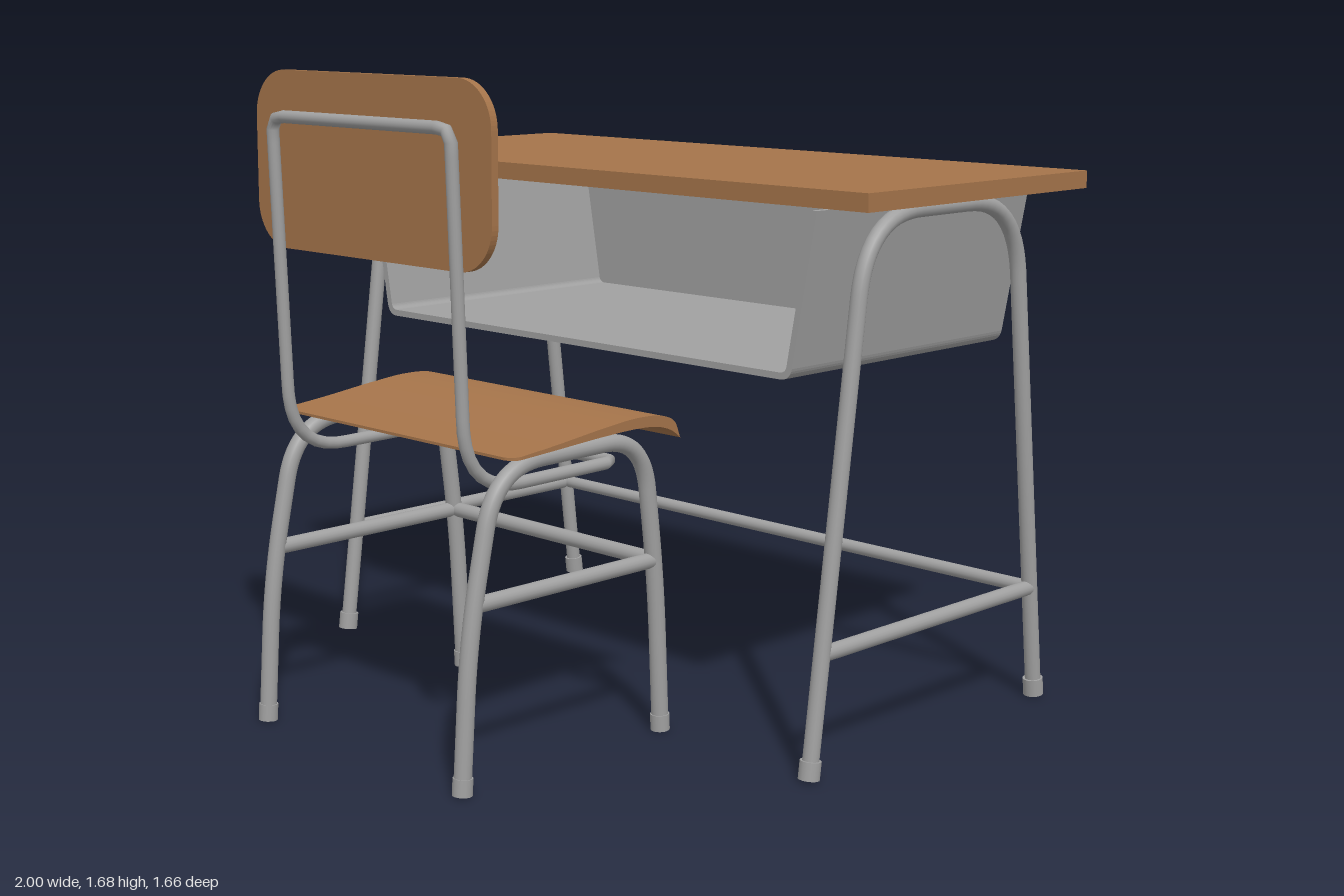
import * as THREE from 'three';

const V = (x, y, z) => new THREE.Vector3(x, y, z);

// Polyline whose inner corners are rounded; each point is [x, y, z, cornerRadius]
function roundedPath(pts) {
  const path = new THREE.CurvePath();
  const p = pts.map(([x, y, z]) => V(x, y, z));
  let from = p[0];
  for (let i = 1; i < p.length - 1; i++) {
    const r = pts[i][3];
    const a = p[i].clone().add(p[i - 1].clone().sub(p[i]).setLength(r));
    const b = p[i].clone().add(p[i + 1].clone().sub(p[i]).setLength(r));
    path.add(new THREE.LineCurve3(from, a));
    path.add(new THREE.QuadraticBezierCurve3(a, p[i], b));
    from = b;
  }
  path.add(new THREE.LineCurve3(from, p[p.length - 1]));
  return path;
}

export function createModel() {
  const wood = new THREE.MeshStandardMaterial({ color: 0xa5744a });
  wood.name = 'wood';
  const metal = new THREE.MeshStandardMaterial({ color: 0xa0a0a0 });
  metal.name = 'greyMetal';

  const model = new THREE.Group();
  model.name = 'schoolDeskAndChair';
  const desk = new THREE.Group();
  desk.name = 'desk';
  const chair = new THREE.Group();
  chair.name = 'chair';
  model.add(desk, chair);

  const add = (parent, name, geometry, material) => {
    const mesh = new THREE.Mesh(geometry, material);
    mesh.name = name;
    parent.add(mesh);
    return mesh;
  };
  const tube = (parent, name, pts, r, closed = false) =>
    add(parent, name, new THREE.TubeGeometry(roundedPath(pts), 120, r, 16, closed), metal);
  const rod = (parent, name, a, b, r) => {
    const mesh = add(parent, name, new THREE.CylinderGeometry(r, r, a.distanceTo(b), 16), metal);
    mesh.position.copy(a).add(b).multiplyScalar(0.5);
    mesh.quaternion.setFromUnitVectors(V(0, 1, 0), b.clone().sub(a).normalize());
  };

  // Desk top
  add(desk, 'deskTop', new THREE.BoxGeometry(2, 0.045, 0.89), wood).position.set(0, 1.402, -0.355);

  // Tray: U-shaped shell, open to the front, with a back wall
  const half = [[0.832, 1.37], [0.763, 0.985], [0.755, 0.955], [0.725, 0.955]];
  const inner = [[0.814, 1.37], [0.745, 0.987], [0.741, 0.972], [0.722, 0.972]];
  const tray = new THREE.Shape();
  tray.moveTo(-half[0][0], half[0][1]);
  tray.lineTo(-half[1][0], half[1][1]);
  tray.quadraticCurveTo(-half[2][0], half[2][1], -half[3][0], half[3][1]);
  tray.lineTo(half[3][0], half[3][1]);
  tray.quadraticCurveTo(half[2][0], half[2][1], half[1][0], half[1][1]);
  tray.lineTo(half[0][0], half[0][1]);
  const backWall = tray.clone();
  tray.lineTo(inner[0][0], inner[0][1]);
  tray.lineTo(inner[1][0], inner[1][1]);
  tray.quadraticCurveTo(inner[2][0], inner[2][1], inner[3][0], inner[3][1]);
  tray.lineTo(-inner[3][0], inner[3][1]);
  tray.quadraticCurveTo(-inner[2][0], inner[2][1], -inner[1][0], inner[1][1]);
  tray.lineTo(-inner[0][0], inner[0][1]);
  const extrude = (shape, depth) =>
    new THREE.ExtrudeGeometry(shape, { depth, bevelEnabled: false, curveSegments: 8 });
  add(desk, 'trayShell', extrude(tray, 0.84), metal).position.z = -0.77;
  add(desk, 'trayBack', extrude(backWall, 0.017), metal).position.z = -0.787;

  for (const s of [-1, 1]) {
    // Desk leg arch with feet and side bar
    const x = s * 0.894;
    tube(desk, 'deskLegArch', [
      [x, 0.01, 0.136], [x, 1.358, -0.041, 0.2], [x, 1.358, -0.641, 0.2], [x, 0.01, -0.802],
    ], 0.021);
    rod(desk, 'deskFoot', V(x, 0.004, 0.137), V(x, 0.05, 0.131), 0.027);
    rod(desk, 'deskFoot', V(x, 0.004, -0.803), V(x, 0.05, -0.797), 0.027);
    rod(desk, 'deskSideBar', V(x, 0.308, 0.097), V(x, 0.308, -0.766), 0.02);

    // Chair leg arch with feet and side bar
    const cx = s * 0.385;
    tube(chair, 'chairLegArch', [
      [cx, 0.005, 0.802], [cx, 0.38, 0.777, 0.15], [cx, 0.78, 0.69, 0.15],
      [cx, 0.785, 0.195, 0.14], [cx, 0.4, 0.145, 0.15], [cx, 0.005, 0.125],
    ], 0.022);
    rod(chair, 'chairFoot', V(cx, 0.002, 0.802), V(cx, 0.045, 0.799), 0.025);
    rod(chair, 'chairFoot', V(cx, 0.002, 0.125), V(cx, 0.045, 0.127), 0.025);
    rod(chair, 'chairSideBar', V(cx, 0.458, 0.762), V(cx, 0.458, 0.152), 0.02);
  }
  rod(desk, 'deskLongBar', V(-0.89, 0.308, -0.766), V(0.89, 0.308, -0.766), 0.018);
  rod(chair, 'chairCrossBar', V(-0.385, 0.458, 0.152), V(0.385, 0.458, 0.152), 0.02);

  // Closed tube frame that carries the seat and the backrest
  const w = 0.338;
  tube(chair, 'backFrame', [
    [0, 0.72, 0.247],
    [w, 0.72, 0.247, 0.03], [w, 0.715, 0.74, 0.17], [w, 1.572, 0.775, 0.04],
    [-w, 1.572, 0.775, 0.04], [-w, 0.715, 0.74, 0.17], [-w, 0.72, 0.247, 0.03],
    [0, 0.72, 0.247],
  ], 0.016, true);

  // Backrest panel with rounded corners
  const [bx, y0, y1, r] = [0.443, 1.24, 1.685, 0.115];
  const panel = new THREE.Shape();
  panel.moveTo(-bx + r, y0);
  panel.absarc(bx - r, y0 + r, r, -Math.PI / 2, 0);
  panel.absarc(bx - r, y1 - r, r, 0, Math.PI / 2);
  panel.absarc(-bx + r, y1 - r, r, Math.PI / 2, Math.PI);
  panel.absarc(-bx + r, y0 + r, r, Math.PI, Math.PI * 1.5);
  add(chair, 'backrest', extrude(panel, 0.02), wood).position.z = 0.725;

  // Seat: a slab bent along top and bottom curves, with two rounded corners
  const curve = (pts) => new THREE.CatmullRomCurve3(pts.map(([z, y]) => V(0, y, z)), false, 'centripetal');
  const top = curve([[0.685, 0.807], [0.55, 0.82], [0.385, 0.839], [0.27, 0.848],
    [0.185, 0.842], [0.14, 0.822], [0.121, 0.782]]);
  const bottom = curve([[0.685, 0.8], [0.55, 0.808], [0.385, 0.818], [0.27, 0.821],
    [0.2, 0.816], [0.15, 0.8], [0.119, 0.778]]);
  const seat = new THREE.BoxGeometry(2, 2, 2, 1, 1, 64);
  const pos = seat.attributes.position;
  const cr = 0.03;
  for (let i = 0; i < pos.count; i++) {
    const u = (1 - pos.getZ(i)) / 2;
    const q = (pos.getY(i) > 0 ? top : bottom).getPointAt(u);
    const d = Math.max(0, q.z - (0.685 - cr));
    const halfWidth = 0.443 - cr + Math.sqrt(Math.max(0, cr * cr - d * d));
    pos.setXYZ(i, Math.sign(pos.getX(i)) * halfWidth, q.y, q.z);
  }
  seat.computeVertexNormals();
  add(chair, 'seat', seat, wood);

  return model;
}
